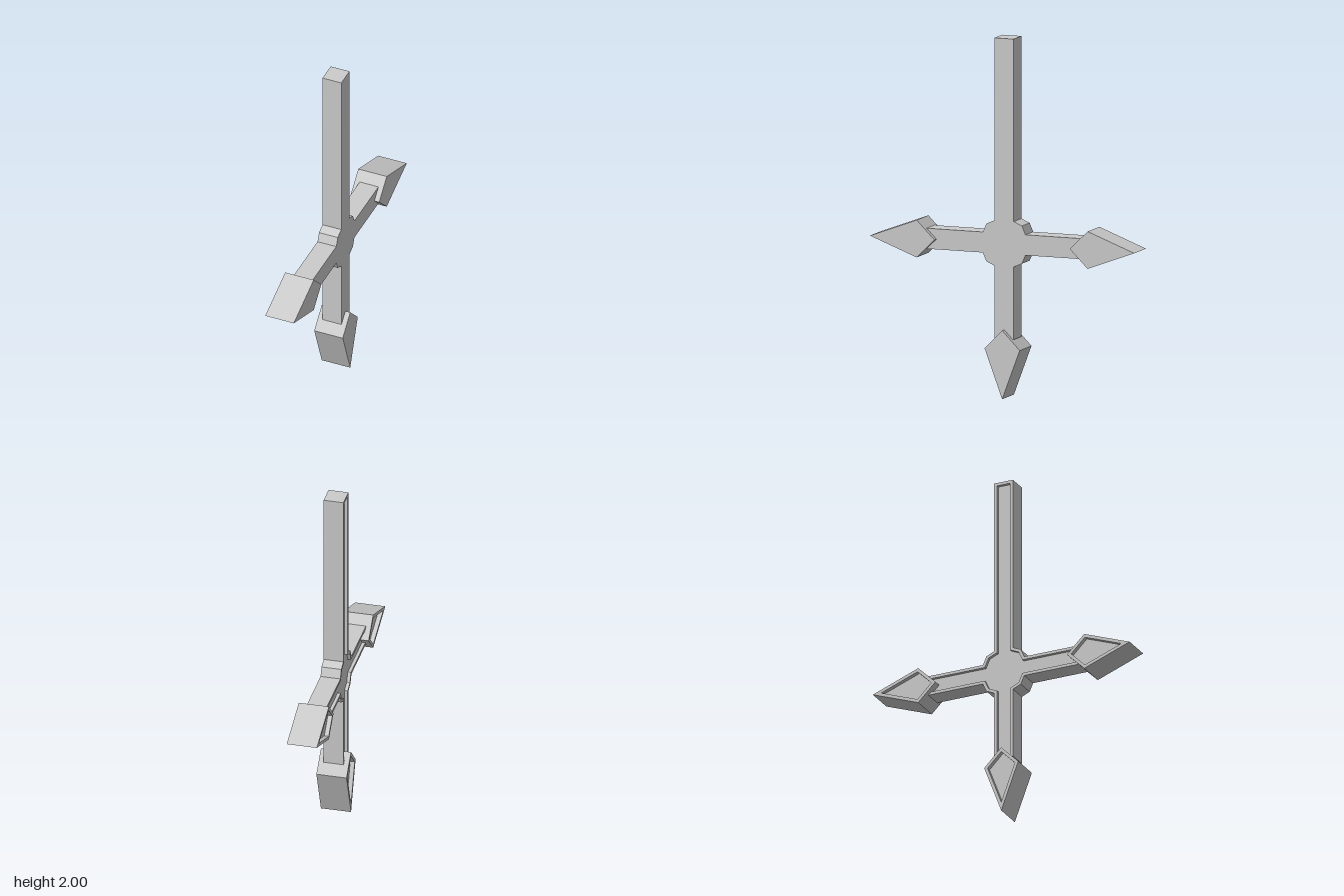
import * as THREE from 'three';

const CENTRE_Y = 0.86;
const material = new THREE.MeshStandardMaterial({ color: 0xcccccc, flatShading: true });

// Moves every edge of a counter-clockwise outline inwards by d (mitred corners)
function inset(points, d) {
  const n = points.length;
  return points.map((p, i) => {
    const a = p.clone().sub(points[(i + n - 1) % n]).normalize();
    const b = points[(i + 1) % n].clone().sub(p).normalize();
    const na = new THREE.Vector2(-a.y, a.x);
    const nb = new THREE.Vector2(-b.y, b.x);
    const mitre = na.clone().add(nb);
    return p.clone().addScaledVector(mitre, d / (1 + na.dot(nb)));
  });
}

// Extrudes a shape drawn in (z, y) from xStart towards -x
function slab(name, shape, xStart, depth) {
  const geometry = new THREE.ExtrudeGeometry(shape, { depth, bevelEnabled: false });
  geometry.rotateY(-Math.PI / 2).translate(xStart, 0, 0);
  const mesh = new THREE.Mesh(geometry, material);
  mesh.name = name;
  return mesh;
}

// Solid plate with a raised rim around a shallow recess on the -x side
function recessedPlate(name, points, half, rimWidth, recess) {
  const group = new THREE.Group();
  group.name = name;
  const rim = new THREE.Shape(points);
  rim.holes.push(new THREE.Path(inset(points, rimWidth).reverse()));
  group.add(
    slab(name + 'Body', new THREE.Shape(points), half, 2 * half - recess),
    slab(name + 'Rim', rim, -half + recess, recess)
  );
  return group;
}

export function createModel() {
  const model = new THREE.Group();
  model.name = 'crossWithArrowheads';
  const origin = new THREE.Vector2();

  // Cross: four bars (front, top, back, bottom) meeting in a faceted hub
  const w = 0.057;
  const outline = [];
  [0.463, 1.14, 0.463, 0.53].forEach((length, i) => {
    [[0.126, -w], [length, -w], [length, w], [0.126, w], [0.105, 0.105]].forEach(([u, v]) =>
      outline.push(new THREE.Vector2(u, v).rotateAround(origin, i * Math.PI / 2)));
  });
  const cross = recessedPlate('cross', outline, 0.056, 0.017, 0.018);
  cross.position.y = CENTRE_Y;
  model.add(cross);

  // Kite-shaped heads on the front, back and bottom bars
  const heads = [
    ['frontHead', 0, 0.783],
    ['backHead', Math.PI, 0.783],
    ['bottomHead', -Math.PI / 2, 0.86],
  ];
  for (const [name, angle, tip] of heads) {
    const kite = [[tip, 0], [tip - 0.277, 0.104], [tip - 0.382, 0], [tip - 0.277, -0.104]]
      .map(([u, v]) => new THREE.Vector2(u, v).rotateAround(origin, angle));
    const head = recessedPlate(name, kite, 0.085, 0.018, 0.025);
    head.position.y = CENTRE_Y;
    model.add(head);
  }
  return model;
}
